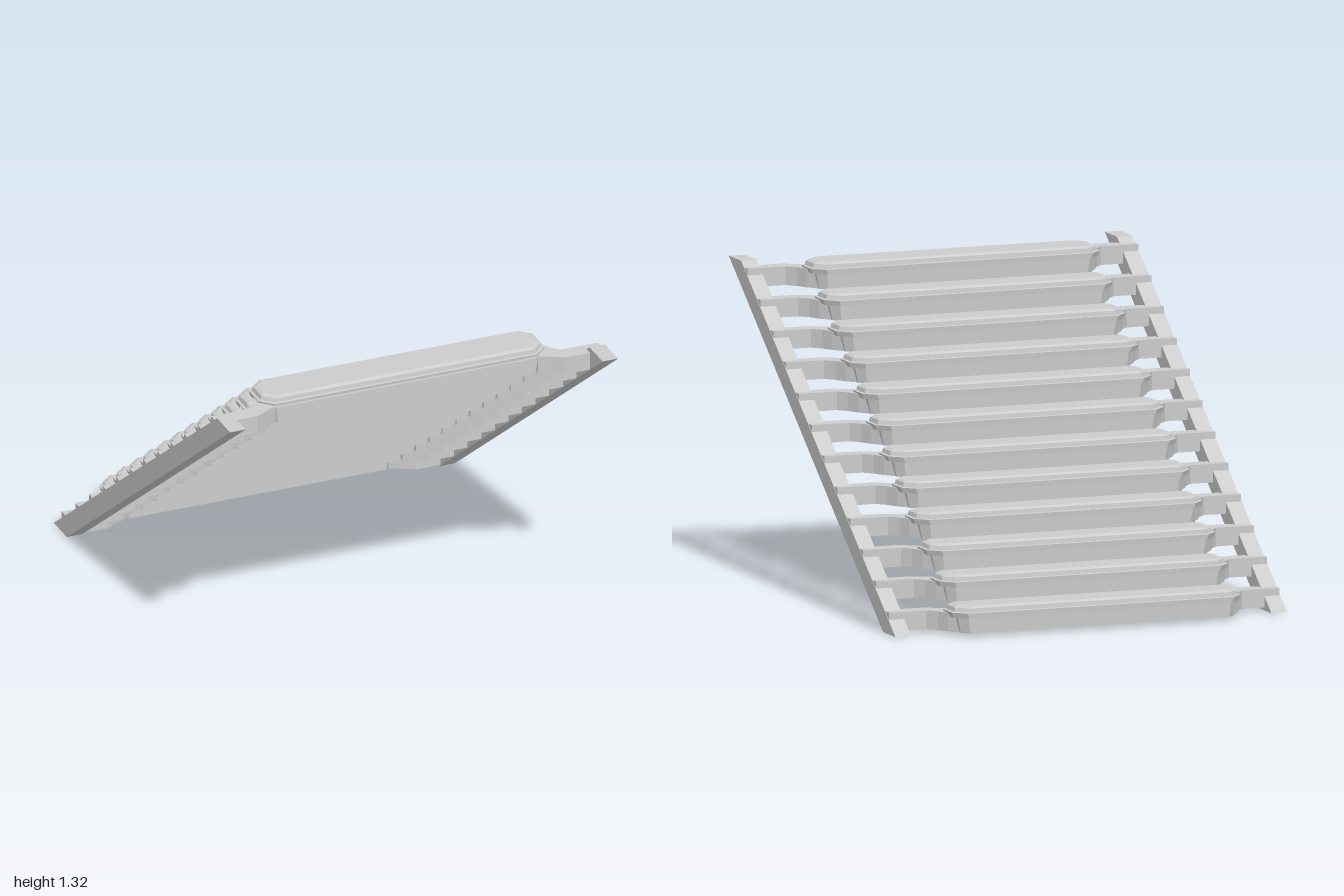
import * as THREE from 'three';

const STEPS = 12, RISE = 0.1088, RUN = 0.1456;
const mat = new THREE.MeshStandardMaterial({ color: 0xcccccc, flatShading: true });

function add(parent, name, geometry) {
  const mesh = new THREE.Mesh(geometry, mat);
  mesh.name = name;
  parent.add(mesh);
  return mesh;
}

// Solid lofted through chamfered rectangles: [y, half width, back z, front z, chamfer]
function loft(sections) {
  const rings = sections.map(([y, w, b, f, c]) => [
    [c - w, f], [w - c, f], [w, f - c], [w, b + c],
    [w - c, b], [c - w, b], [-w, b + c], [-w, f - c],
  ].map(([x, z]) => [x, y, z]));
  const pos = [];
  const tri = (...pts) => pts.forEach((p) => pos.push(...p));
  for (let r = 0; r + 1 < rings.length; r++) {
    const lo = rings[r], hi = rings[r + 1];
    for (let i = 0; i < 8; i++) {
      const j = (i + 1) % 8;
      tri(lo[i], lo[j], hi[j]);
      tri(lo[i], hi[j], hi[i]);
    }
  }
  const top = rings[rings.length - 1], bottom = rings[0];
  for (let i = 1; i < 7; i++) {
    tri(top[0], top[i], top[i + 1]);
    tri(bottom[0], bottom[i + 1], bottom[i]);
  }
  const g = new THREE.BufferGeometry();
  g.setAttribute('position', new THREE.Float32BufferAttribute(pos, 3));
  g.computeVertexNormals();
  return g;
}

// Cranked bracket, drawn in plan (x, z) and extruded upwards
function bracket(side) {
  const plan = [
    [0.868, 0.09], [0.7, 0.09], [0.665, 0.05], [0.64, 0], [0.6, -0.05],
    [0.59, 0.11], [0.63, 0.13], [0.69, 0.163], [0.868, 0.163],
  ];
  const shape = new THREE.Shape(plan.map(([x, z]) => new THREE.Vector2(side * x, -z)));
  const g = new THREE.ExtrudeGeometry(shape, { depth: 0.078, bevelEnabled: false });
  return g.rotateX(-Math.PI / 2).translate(0, 0.012, 0);
}

// Sloping side rail, drawn as a (z, y) parallelogram with level ends
function rail() {
  const pts = [[1, 1.31], [0.86, 1.31], [-0.89, 0], [-0.75, 0]];
  const shape = new THREE.Shape(pts.map(([z, y]) => new THREE.Vector2(-z, y)));
  const g = new THREE.ExtrudeGeometry(shape, { depth: 0.07, bevelEnabled: false });
  return g.rotateY(Math.PI / 2).translate(-0.035, 0, 0);
}

export function createModel() {
  const model = new THREE.Group();
  model.name = 'stairs';

  // Side rails
  const railGeometry = rail();
  add(model, 'leftRail', railGeometry).position.x = 0.835;
  add(model, 'rightRail', railGeometry).position.x = -0.835;

  // Parts shared by every step
  const body = loft([
    [0.012, 0.605, -0.085, 0.115, 0.03],
    [0.085, 0.62, -0.087, 0.113, 0.035],
  ]);
  const tread = loft([
    [0.076, 0.635, -0.098, 0.102, 0.05],
    [0.098, 0.642, -0.1, 0.104, 0.05],
    [0.1, 0.63, -0.09, 0.096, 0.045],
    [0.117, 0.625, -0.087, 0.093, 0.045],
    [0.125, 0.61, -0.073, 0.08, 0.04],
  ]);
  const leftBracket = bracket(1), rightBracket = bracket(-1);

  for (let i = 0; i < STEPS; i++) {
    const step = new THREE.Group();
    step.name = `step${i + 1}`;
    add(step, 'stepBody', body);
    add(step, 'tread', tread);
    add(step, 'leftBracket', leftBracket);
    add(step, 'rightBracket', rightBracket);
    step.position.set(0, i * RISE, -0.9 + i * RUN);
    model.add(step);
  }
  return model;
}
